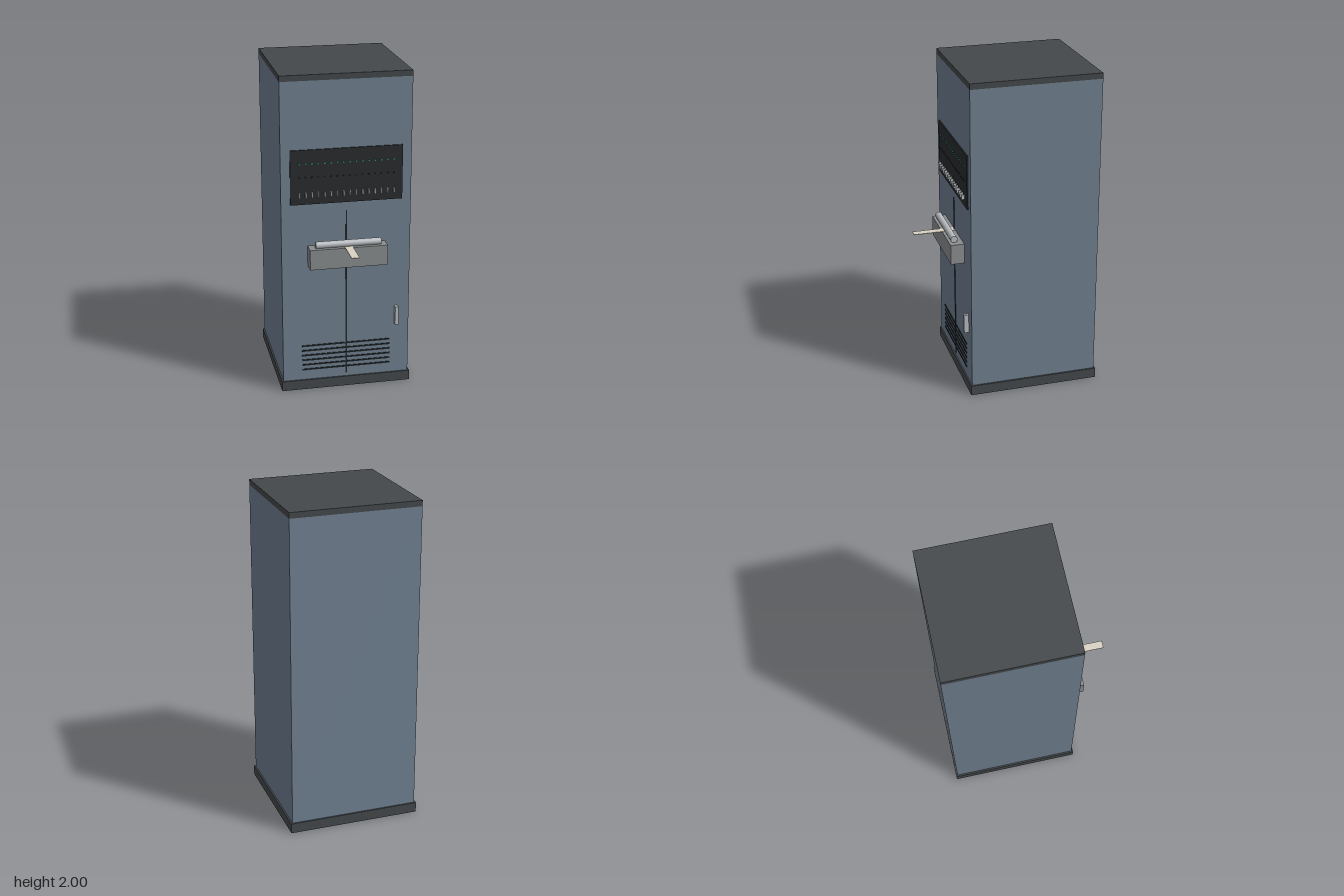
import * as THREE from 'three';

const mat = (color) => new THREE.MeshStandardMaterial({ color });

export function createModel() {
  const model = new THREE.Group();
  const blue = mat(0x708090), dark = mat(0x43484b), black = mat(0x282b2d), seamMat = mat(0x22282d);
  const grey = mat(0x8a8d8f), steel = mat(0xb8bcc0), paper = mat(0xd8d2c2);
  const green = mat(0x2f9a78), unlit = mat(0x1c1e20);
  const FRONT = 0.272, BACK = -0.524;

  // Box given by its extents on each axis
  const box = (name, material, [x0, x1], [y0, y1], [z0, z1], parent = model) => {
    const mesh = new THREE.Mesh(new THREE.BoxGeometry(x1 - x0, y1 - y0, z1 - z0), material);
    mesh.position.set((x0 + x1) / 2, (y0 + y1) / 2, (z0 + z1) / 2);
    mesh.name = name;
    parent.add(mesh);
    return mesh;
  };
  const group = (name) => {
    const g = new THREE.Group();
    g.name = name;
    model.add(g);
    return g;
  };

  // Cabinet shell
  box('base', dark, [-0.407, 0.407], [0, 0.063], [-0.533, 0.281]);
  box('cabinet', blue, [-0.397, 0.397], [0.063, 1.965], [BACK, FRONT]);
  box('topCap', dark, [-0.397, 0.397], [1.965, 2], [BACK, FRONT]);

  // Door seam and ventilation slots
  box('doorSeam', seamMat, [-0.004, 0.004], [0.085, 1.165], [FRONT - 0.004, 0.276]);
  const vents = group('vents');
  for (let i = 0; i < 6; i++) {
    const y = 0.132 + i * 0.032;
    box('ventSlot', seamMat, [-0.278, 0.278], [y - 0.0045, y + 0.0045], [FRONT - 0.004, 0.277], vents);
  }
  box('doorHandle', steel, [0.305, 0.326], [0.397, 0.516], [FRONT - 0.004, 0.301]);

  // Control panel: two lamp rows above a row of switches
  box('controlPanel', black, [-0.341, 0.341], [1.218, 1.554], [FRONT - 0.004, 0.28]);
  const lamps = group('lamps'), switches = group('switches');
  const lampGeometry = new THREE.CylinderGeometry(0.005, 0.005, 0.01, 10).rotateX(Math.PI / 2);
  for (let i = 0; i < 16; i++) {
    const x = (i - 7.5) * 0.0382;
    for (const [y, material] of [[1.47, green], [1.385, unlit]]) {
      const lamp = new THREE.Mesh(lampGeometry, material);
      lamp.name = 'lamp';
      lamp.position.set(x, y, 0.281);
      lamps.add(lamp);
    }
    box('switch', steel, [x - 0.004, x + 0.004], [1.264, 1.294], [0.276, 0.299], switches);
  }

  // Tape reader: housing, roller and a strip of paper tape
  box('readerHousing', grey, [-0.238, 0.238], [0.827, 0.953], [FRONT - 0.004, 0.356]);
  const roller = new THREE.Mesh(new THREE.CylinderGeometry(0.021, 0.021, 0.4, 24).rotateZ(Math.PI / 2), steel);
  roller.name = 'roller';
  roller.position.set(0, 0.973, 0.325);
  model.add(roller);
  box('paperTape', paper, [-0.024, 0.024], [0.952, 0.956], [FRONT - 0.004, 0.533]);

  return model;
}
